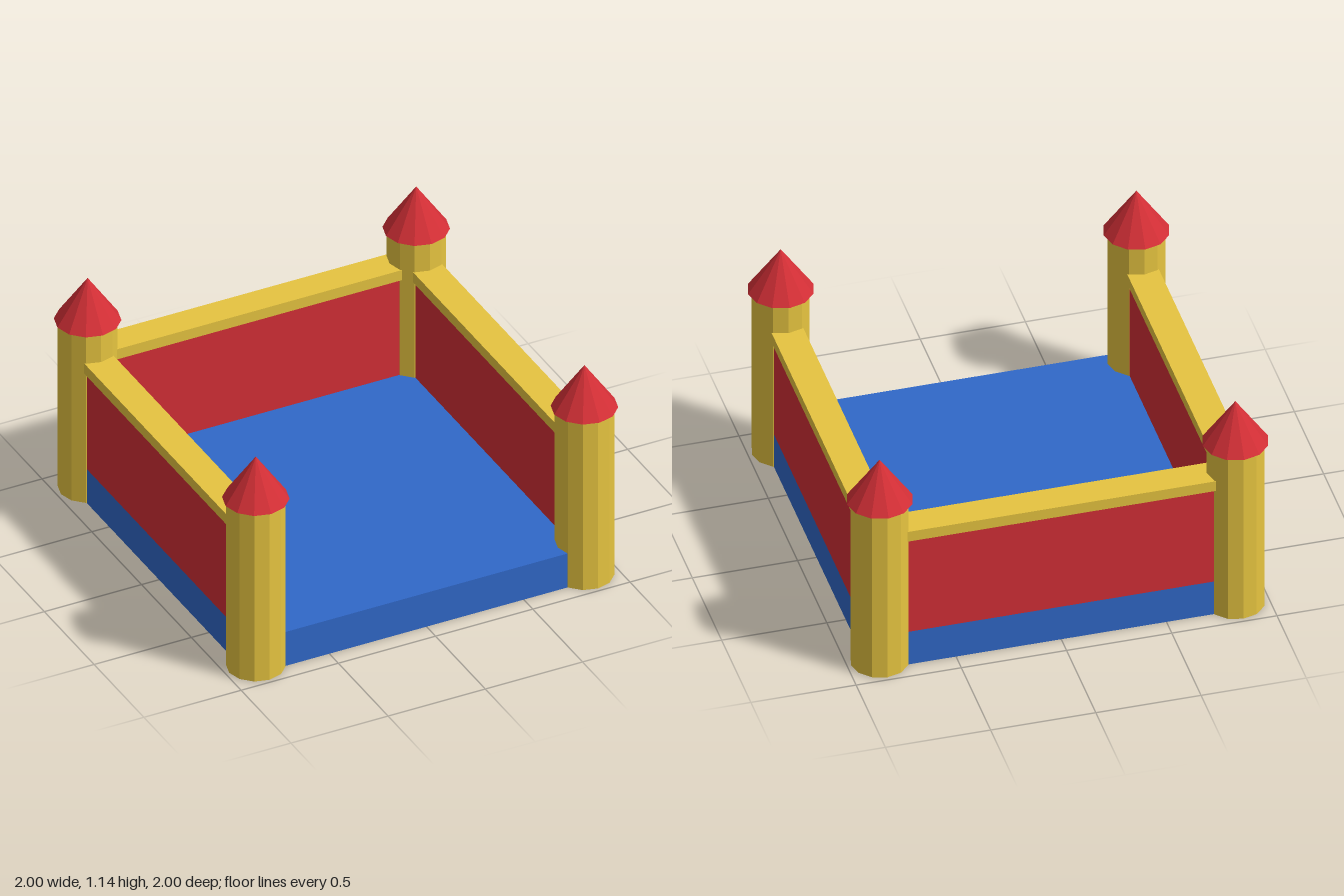
import * as THREE from 'three';

const material = (color) => new THREE.MeshStandardMaterial({ color, flatShading: true });

export function createModel() {
  const model = new THREE.Group();
  model.name = 'bouncyCastle';
  const yellow = material(0xe6c440);
  const red = material(0xd32f36);
  const blue = material(0x3068c8);

  const add = (name, geometry, mat, x, y, z) => {
    const mesh = new THREE.Mesh(geometry, mat);
    mesh.name = name;
    mesh.position.set(x, y, z);
    model.add(mesh);
  };

  const T = 0.845;            // tower centres, also centre lines of the walls
  const floorTop = 0.185, wallTop = 0.705, railTop = 0.76;
  const wallH = wallTop - floorTop, railH = railTop - wallTop;
  const wallY = (floorTop + wallTop) / 2, railY = (wallTop + railTop) / 2;

  // Inflated floor
  add('floor', new THREE.BoxGeometry(1.82, floorTop, 1.82), blue, 0, floorTop / 2, 0);

  // Side walls with top rails; the front stays open
  for (const [side, s] of [['left', 1], ['right', -1]]) {
    add(side + 'Wall', new THREE.BoxGeometry(0.13, wallH, 2 * T), red, s * T, wallY, 0);
    add(side + 'Rail', new THREE.BoxGeometry(0.15, railH, 2 * T), yellow, s * T, railY, 0);
  }

  // Back wall and rail
  add('backWall', new THREE.BoxGeometry(2 * T, wallH, 0.13), red, 0, wallY, -T);
  add('backRail', new THREE.BoxGeometry(2 * T, railH, 0.15), yellow, 0, railY, -T);

  // Corner towers with cone roofs
  const towerH = 0.915, roofH = 0.225;
  for (const [end, sz] of [['front', 1], ['back', -1]]) {
    for (const [side, sx] of [['Left', 1], ['Right', -1]]) {
      add(end + side + 'Tower', new THREE.CylinderGeometry(0.137, 0.137, towerH, 12),
        yellow, sx * T, towerH / 2 + 0.001, sz * T);
      add(end + side + 'Roof', new THREE.ConeGeometry(0.155, roofH, 12),
        red, sx * T, towerH + roofH / 2, sz * T);
    }
  }
  return model;
}
